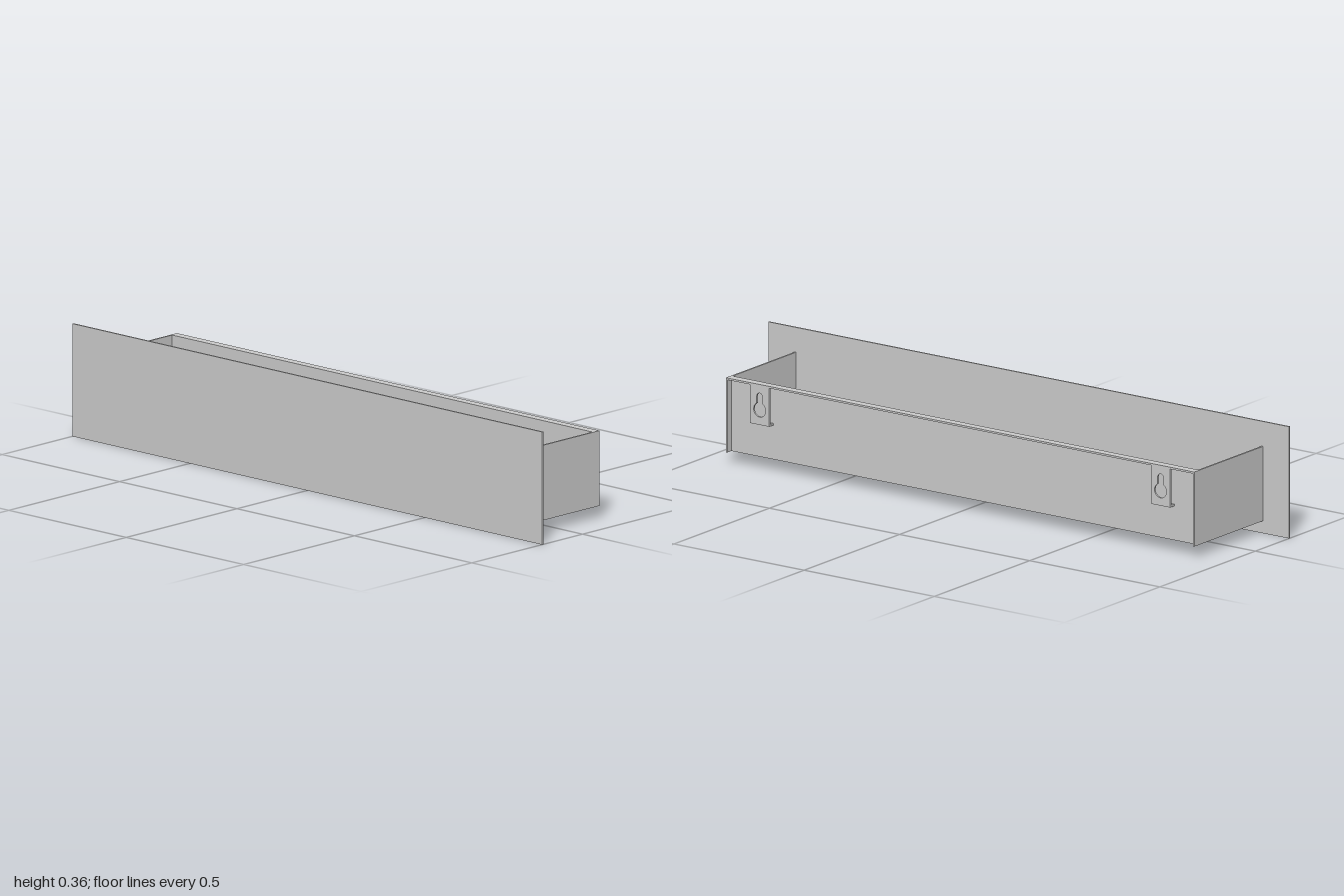
import * as THREE from 'three';

const T = 0.006; // sheet thickness

export function createModel() {
  const model = new THREE.Group();
  model.name = 'slattedWallShelf';
  const material = new THREE.MeshStandardMaterial({ color: 0xcccccc });

  // box given by its minimum and maximum corners
  const box = (name, [x0, y0, z0], [x1, y1, z1], parent = model) => {
    const mesh = new THREE.Mesh(new THREE.BoxGeometry(x1 - x0, y1 - y0, z1 - z0), material);
    mesh.position.set((x0 + x1) / 2, (y0 + y1) / 2, (z0 + z1) / 2);
    mesh.name = name;
    parent.add(mesh);
  };

  const back = -0.183, front = 0.177, low = 0.04, high = 0.28, half = 0.9;
  const inner = half - T;

  // wide front panel
  box('frontPanel', [-1, 0, front], [1, 0.36, front + T]);

  // end panels
  box('rightSide', [-half, low, back], [-inner, high, front]);
  box('leftSide', [inner, low, back], [half, high, front]);

  // recessed back panel with a top lip folded outwards
  box('backPanel', [-inner, low, -0.161], [inner, high - T, -0.155]);
  box('backLip', [-inner, high - T, back], [inner, high, -0.155]);

  // two floor slats
  for (const z of [-0.11, 0.03]) box('floorSlat', [-inner, low, z], [inner, low + T, z + 0.1]);

  // keyhole hangers: a pierced plate folded back to the panel at its foot
  const w = 0.037, foot = 0.15, top = high - T;
  const plate = new THREE.Shape();
  plate.moveTo(-w, foot).lineTo(w, foot).lineTo(w, top).lineTo(-w, top).closePath();
  const r = 0.023, slot = 0.011, cy = 0.198, slotTop = 0.241;
  const a = Math.acos(slot / r);
  const keyhole = new THREE.Path();
  keyhole.absarc(0, slotTop, slot, 0, Math.PI, false);
  keyhole.absarc(0, cy, r, Math.PI - a, 2 * Math.PI + a, false);
  keyhole.closePath();
  plate.holes.push(keyhole);
  const plateGeometry = new THREE.ExtrudeGeometry(plate, { depth: T, bevelEnabled: false, curveSegments: 16 });

  for (const side of [-1, 1]) {
    const hanger = new THREE.Group();
    hanger.name = side > 0 ? 'leftHanger' : 'rightHanger';
    hanger.position.x = side * 0.77;
    const mesh = new THREE.Mesh(plateGeometry, material);
    mesh.name = 'keyholePlate';
    mesh.position.z = back;
    hanger.add(mesh);
    box('hangerFoot', [-w, foot, back + T], [w, foot + T, -0.161], hanger);
    model.add(hanger);
  }
  return model;
}
